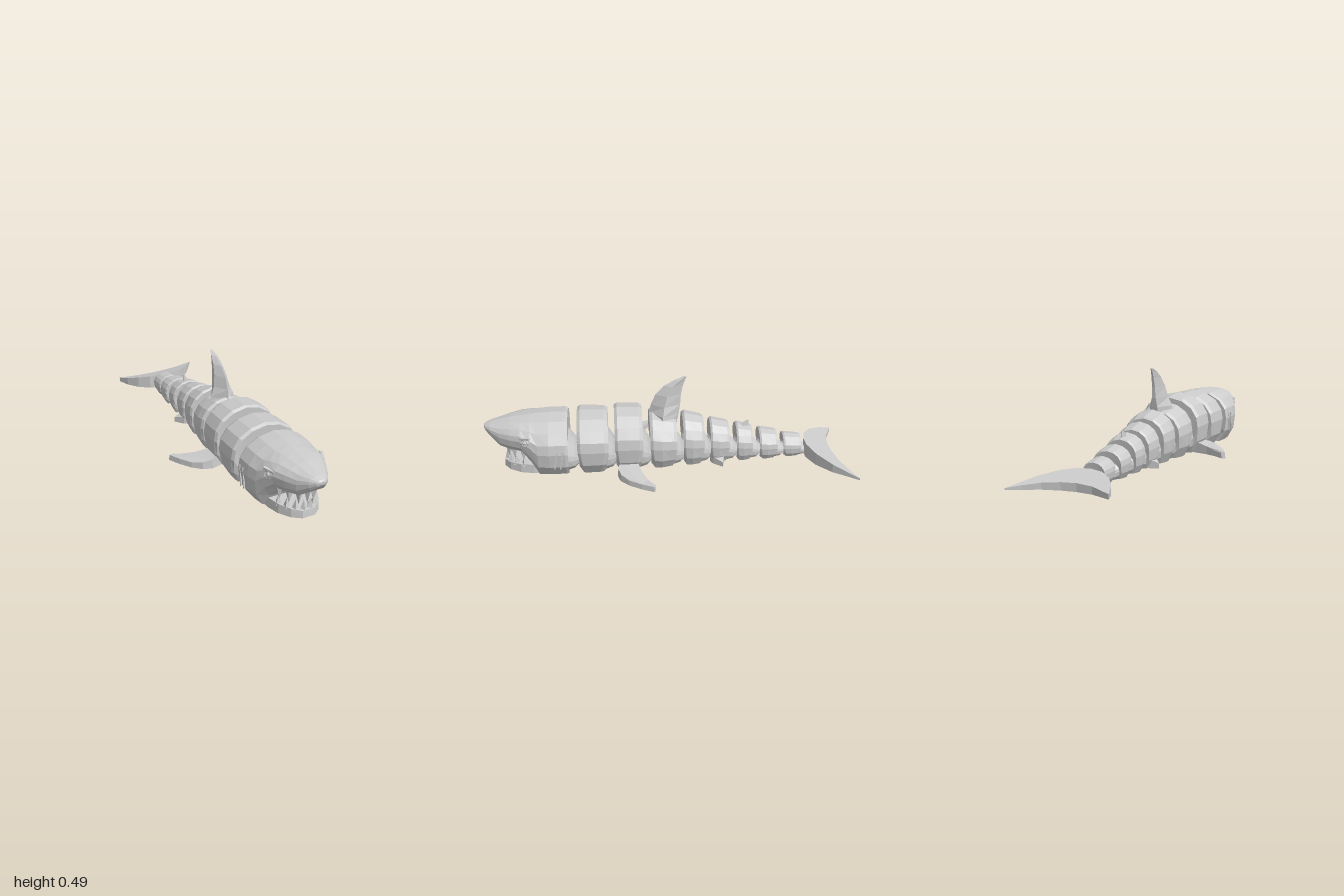
import * as THREE from 'three';

const grey = new THREE.MeshStandardMaterial({ color: 0xcccccc, flatShading: true });

function add(parent, name, geometry) {
  const mesh = new THREE.Mesh(geometry, grey);
  mesh.name = name;
  parent.add(mesh);
  return mesh;
}

// Skin over a list of rings ([x, y, z] points, counter-clockwise seen from the last ring), capped
function loft(rings) {
  const pos = [];
  const n = rings[0].length;
  const centre = (r) => [0, 1, 2].map((k) => r.reduce((s, p) => s + p[k], 0) / n);
  const first = rings[0], last = rings[rings.length - 1];
  const c0 = centre(first), c1 = centre(last);
  for (let j = 0; j < n; j++) {
    const k = (j + 1) % n;
    for (let i = 0; i + 1 < rings.length; i++) {
      const a = rings[i][j], b = rings[i][k], c = rings[i + 1][k], d = rings[i + 1][j];
      pos.push(...a, ...b, ...c, ...a, ...c, ...d);
    }
    pos.push(...c0, ...first[k], ...first[j], ...c1, ...last[j], ...last[k]);
  }
  const g = new THREE.BufferGeometry();
  g.setAttribute('position', new THREE.Float32BufferAttribute(pos, 3));
  g.computeVertexNormals();
  return g;
}

// Flat-bottomed body cross-section
const half = [[0.74, 0], [0.95, 0.22], [1, 0.48], [0.95, 0.66], [0.76, 0.83], [0.43, 0.95]];
const outline = [...half, [0, 1], ...half.map(([x, y]) => [-x, y]).reverse()];
// lean pulls the lower edge along z
const section = (z, w, y0, y1, lean = 0) =>
  outline.map(([x, y]) => [x * w, y0 + y * (y1 - y0), z + lean * Math.max(0, 1 - y / 0.48)]);

// Tapered joint at the back of a body piece
const jointRings = (z, w, h, len) => [
  section(z - len, w * 0.4, 0.015, h * 0.26),
  section(z - len * 0.5, w * 0.62, 0, h * 0.42),
  section(z + 0.005, w * 0.8, 0, h * 0.55, 0.01),
];

// Slab lying on the ground from a plan outline [x, z]; height(x, z) shapes the top
function slab(pts, height, inset = 0) {
  const shape = new THREE.Shape(pts.map(([x, z]) => new THREE.Vector2(x, -z)));
  const g = new THREE.ExtrudeGeometry(shape, { depth: 1, bevelEnabled: false });
  g.rotateX(-Math.PI / 2);
  const cx = pts.reduce((s, p) => s + p[0], 0) / pts.length;
  const cz = pts.reduce((s, p) => s + p[1], 0) / pts.length;
  const p = g.attributes.position;
  for (let i = 0; i < p.count; i++) {
    const x = p.getX(i), z = p.getZ(i);
    if (p.getY(i) < 0.5) { p.setY(i, 0); continue; }
    p.setXYZ(i, x + (cx - x) * inset, height(x, z), z + (cz - z) * inset);
  }
  g.computeVertexNormals();
  return g;
}

// Upright fin from rows of [y, front z, back z, half thickness]
const uprightFin = (rows) => loft(rows.map(([y, f, b, t]) => {
  const m = f + (b - f) * 0.45;
  return [[0, y, f], [t, y, m], [t * 0.25, y, b], [-t * 0.25, y, b], [-t, y, m]];
}));

function buildHead() {
  const head = new THREE.Group();
  head.name = 'head';
  // z, half width, bottom, top
  const stations = [
    [0.55, 0.188, 0, 0.295], [0.565, 0.196, 0, 0.305], [0.65, 0.197, 0, 0.305], [0.71, 0.187, 0, 0.302],
    [0.75, 0.17, 0.07, 0.298], [0.80, 0.147, 0.13, 0.292], [0.86, 0.12, 0.135, 0.284],
    [0.915, 0.09, 0.145, 0.272], [0.965, 0.055, 0.19, 0.26], [0.992, 0.028, 0.215, 0.25], [1.0, 0.012, 0.228, 0.244],
  ];
  add(head, 'skull', loft([...jointRings(0.55, 0.19, 0.3, 0.06), ...stations.map((s) => section(...s))]));

  // Lower jaw with rounded front
  const jaw = [[-0.13, 0.6], [0.13, 0.6], [0.13, 0.74], [0.115, 0.81], [0.08, 0.87], [0.035, 0.905],
    [-0.035, 0.905], [-0.08, 0.87], [-0.115, 0.81], [-0.13, 0.74]];
  add(head, 'lowerJaw', slab(jaw, (x) => 0.035 + Math.abs(x) * 0.12, 0.03));

  // Teeth around the mouth
  for (let row = 0; row < 2; row++) {
    const count = row ? 8 : 7;
    for (let i = 0; i < count; i++) {
      const a = ((i + 0.5) / count - 0.5) * 2.7;
      const len = row ? 0.055 : 0.08;
      const tooth = add(head, row ? 'lowerTooth' : 'upperTooth', new THREE.ConeGeometry(0.021, len, 4));
      tooth.position.set(0.108 * Math.sin(a), row ? 0.062 : 0.102, 0.73 + 0.155 * Math.cos(a));
      tooth.rotation.set(row ? 0 : Math.PI, row ? a : -a, 0);
    }
  }

  for (const s of [-1, 1]) {
    // Eye, its rim and the brow
    const eye = add(head, 'eye', new THREE.IcosahedronGeometry(0.014, 0));
    eye.position.set(s * 0.149, 0.207, 0.775);
    const rim = add(head, 'eyeRim', new THREE.TorusGeometry(0.022, 0.006, 4, 7));
    rim.position.set(s * 0.152, 0.207, 0.775);
    rim.rotation.y = s * 1.15;
    const brow = add(head, 'brow', new THREE.BoxGeometry(0.014, 0.012, 0.06));
    brow.position.set(s * 0.15, 0.229, 0.775);
    brow.rotation.set(0.15, -s * 0.42, 0);
    // Gill ridges
    for (const z of [0.585, 0.615]) {
      const gill = add(head, 'gill', new THREE.BoxGeometry(0.008, 0.11, 0.007));
      gill.position.set(s * 0.194, 0.115, z);
      gill.rotation.x = -0.15;
    }
  }
  return head;
}

// Body pieces: front z, back z, half width, height
const pieces = [
  [0.50, 0.335, 0.192, 0.312], [0.30, 0.15, 0.182, 0.322], [0.11, -0.035, 0.162, 0.29],
  [-0.07, -0.185, 0.138, 0.272], [-0.22, -0.325, 0.115, 0.228], [-0.365, -0.455, 0.103, 0.195],
  [-0.495, -0.595, 0.091, 0.157], [-0.63, -0.73, 0.071, 0.122],
];

function buildPiece([f, b, w, h], i) {
  const next = pieces[i + 1] ? pieces[i + 1][0] : -0.755;
  const k = i < 2 ? 0.985 : 0.91;
  const d = f - b;
  // joint, outer shell, then the socket hollowed into the front
  return loft([
    ...jointRings(b, w * k, h, b - next + 0.012),
    section(b, w * k * 0.95, 0, h * k * 0.96, d * 0.16),
    section(b + d * 0.12, w * k, 0, h * k, d * 0.14),
    section(b + d * 0.55, w, 0, h * (1 + k) / 2),
    section(f - d * 0.1, w, 0, h, -d * 0.1),
    section(f, w * 0.95, 0.003, h * 0.97, -d * 0.16),
    section(f - 0.005, w * 0.72, h * 0.05, h * 0.62),
    section(f - d * 0.45, w * 0.5, h * 0.08, h * 0.45),
  ]);
}

export function createModel() {
  const model = new THREE.Group();
  model.name = 'articulatedShark';
  model.add(buildHead());

  const body = new THREE.Group();
  body.name = 'body';
  model.add(body);
  pieces.forEach((p, i) => {
    add(body, 'bodySegment', buildPiece(p, i));
    // Hinge pin and paired links in front of each segment
    const [f, , , h] = p;
    const pin = add(body, 'hingePin', new THREE.CylinderGeometry(0.009, 0.009, h * 0.36, 6));
    pin.position.set(0, h * 0.19, f + 0.008);
    for (const s of [-1, 1]) {
      const link = add(body, 'hingeLink', new THREE.BoxGeometry(0.01, h * 0.14, 0.05));
      link.position.set(s * 0.018, h * 0.22, f + 0.012);
    }
  });

  // Paired fins
  for (const s of [-1, 1]) {
    const mirror = (pts) => pts.map(([x, z]) => [s * x, z]);
    const pectoral = [[0.13, 0.275], [0.19, 0.29], [0.24, 0.275], [0.285, 0.23], [0.325, 0.165], [0.355, 0.1],
      [0.335, 0.092], [0.28, 0.13], [0.22, 0.16], [0.13, 0.185]];
    add(model, 'pectoralFin', slab(mirror(pectoral),
      (x) => 0.03 + 0.035 * Math.max(0, 1 - (Math.abs(x) - 0.13) / 0.15), 0.04));
    add(model, 'pelvicFin', slab(mirror([[0.07, -0.22], [0.1, -0.235], [0.137, -0.285], [0.07, -0.3]]),
      (x) => 0.085 - Math.abs(x) * 0.42));
  }

  // Upright fins
  add(model, 'dorsalFin', uprightFin([
    [0.2, 0.112, -0.035, 0.085], [0.28, 0.11, -0.05, 0.066], [0.33, 0.1, -0.058, 0.046], [0.39, 0.075, -0.062, 0.034],
    [0.44, 0.03, -0.072, 0.024], [0.475, -0.03, -0.084, 0.016], [0.492, -0.075, -0.092, 0.009],
  ]));
  add(model, 'rearDorsalFin', uprightFin([
    [0.14, -0.37, -0.44, 0.03], [0.185, -0.385, -0.438, 0.015], [0.212, -0.425, -0.436, 0.004],
  ]));

  // Crescent tail fin, thinning to the back
  const tail = [[-0.2, -0.95], [-0.175, -0.88], [-0.13, -0.815], [-0.07, -0.77], [0, -0.752], [0.07, -0.757],
    [0.15, -0.795], [0.23, -0.87], [0.318, -1], [0.25, -0.96], [0.17, -0.92], [0.08, -0.897], [0, -0.89],
    [-0.09, -0.903]];
  add(model, 'tailFin', slab(tail, (x, z) => 0.01 + 0.29 * (z + 1)));
  return model;
}
